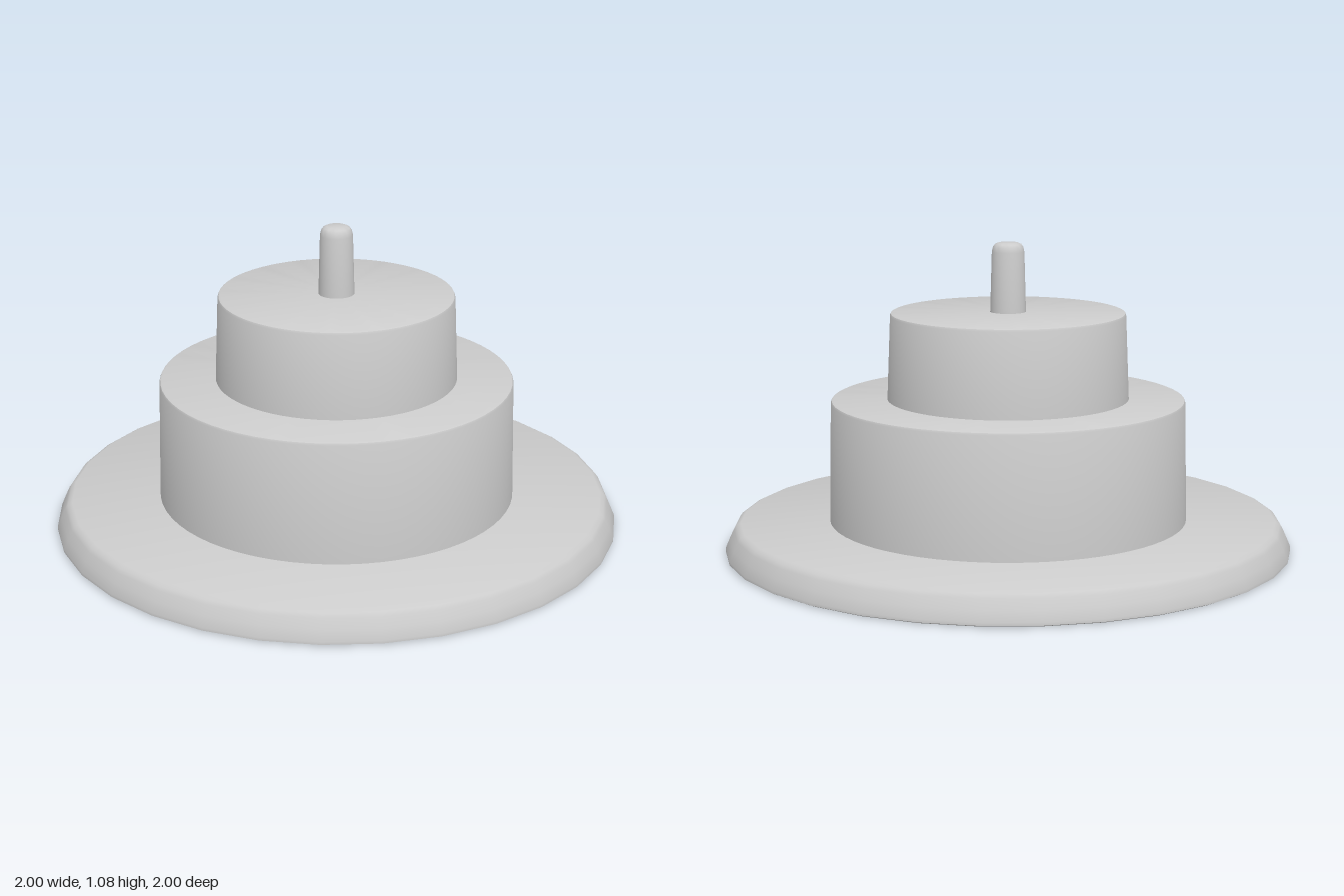
import * as THREE from 'three';
import { toCreasedNormals } from 'three/addons/utils/BufferGeometryUtils.js';

const material = new THREE.MeshStandardMaterial({ color: 0xcccccc });

// Turns a closed solid from [radius, height] pairs, listed from the bottom up
function turned(name, profile, segments) {
  const points = profile.map(([r, y]) => new THREE.Vector2(r, y));
  const geometry = toCreasedNormals(new THREE.LatheGeometry(points, segments), 0.7);
  const mesh = new THREE.Mesh(geometry, material);
  mesh.name = name;
  return mesh;
}

// Slightly tapered cake layer with a small bevel on the top edge
function tier(name, bottom, top, y0, y1) {
  return turned(name, [
    [0, y0], [bottom, y0], [top, y1 - 0.01], [top - 0.003, y1 - 0.003],
    [top - 0.01, y1], [0, y1],
  ], 64);
}

export function createModel() {
  const cake = new THREE.Group();
  cake.name = 'tieredCake';

  // Round plate with a sloping, softened rim
  cake.add(turned('plate', [
    [0, 0], [0.99, 0], [1, 0.005], [1, 0.015], [0.985, 0.05], [0.97, 0.083],
    [0.961, 0.096], [0.945, 0.105], [0, 0.105],
  ], 32));

  // Two stacked layers
  cake.add(tier('lowerTier', 0.632, 0.623, 0.105, 0.535));
  cake.add(tier('upperTier', 0.425, 0.413, 0.535, 0.84));

  // Candle with a rounded top
  cake.add(turned('candle', [
    [0, 0.835], [0.063, 0.835], [0.057, 1.05], [0.053, 1.067],
    [0.046, 1.077], [0.035, 1.082], [0, 1.082],
  ], 32));

  return cake;
}
